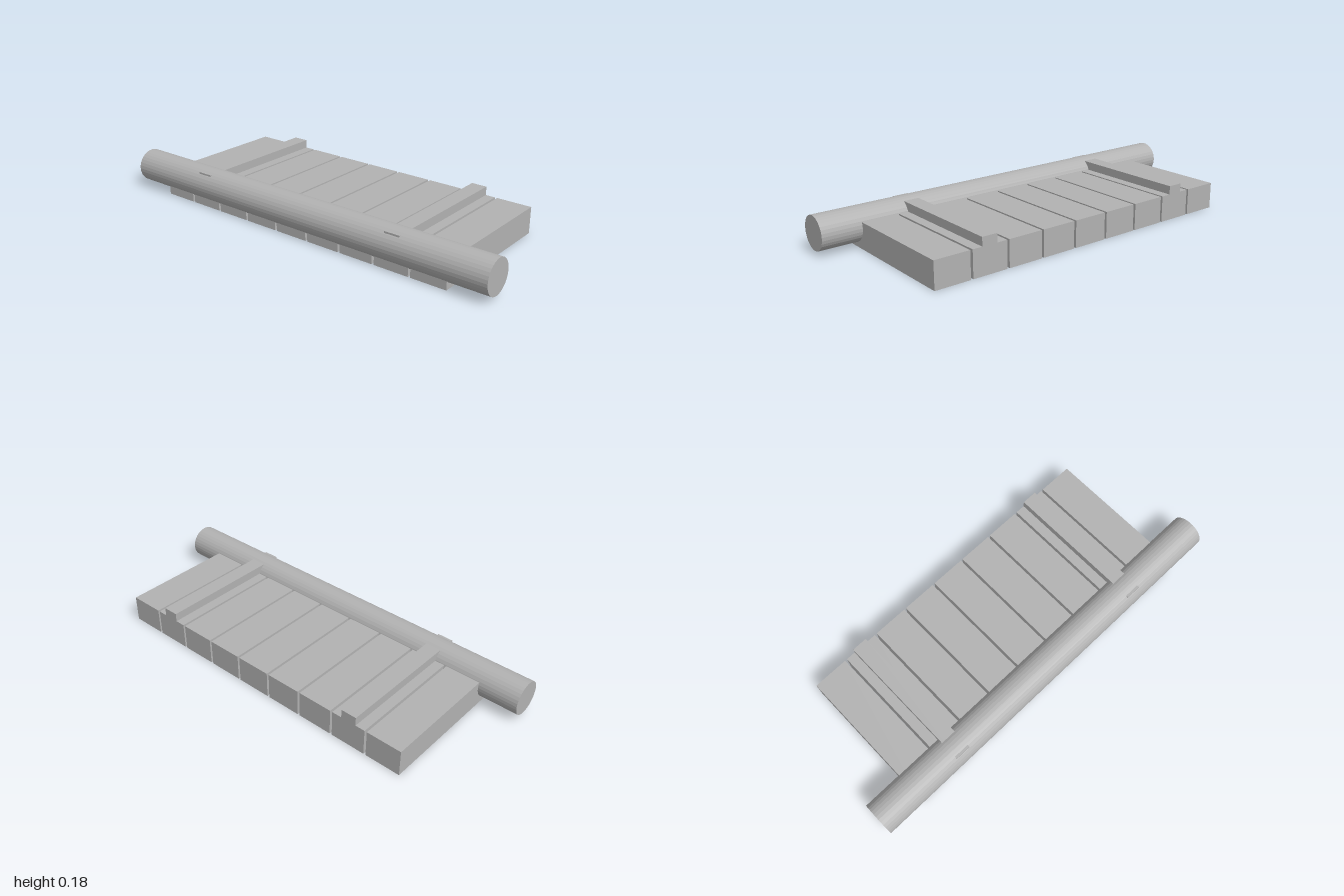
import * as THREE from 'three';

export function createModel() {
  const model = new THREE.Group();
  model.name = 'slattedPlatform';
  const grey = new THREE.MeshStandardMaterial({ color: 0xb2b2b2, flatShading: true });
  grey.name = 'grey';

  const backZ = -0.36, frontZ = 0.333;
  const depth = frontZ - backZ, midZ = (frontZ + backZ) / 2;
  const slatTop = 0.127, railTop = 0.168;

  const add = (name, geometry, x, y, z) => {
    const mesh = new THREE.Mesh(geometry, grey);
    mesh.name = name;
    mesh.position.set(x, y, z);
    model.add(mesh);
    return mesh;
  };

  // Nine slats with narrow gaps
  const slatGeometry = new THREE.BoxGeometry(0.17, slatTop, depth);
  for (let i = -4; i <= 4; i++) {
    add('slat', slatGeometry, i * 0.1814, slatTop / 2, midZ);
  }

  // Two rails lying on the slats, just breaking through the front of the log
  const railGeometry = new THREE.BoxGeometry(0.075, railTop - slatTop, depth);
  for (const side of [-1, 1]) {
    add(side > 0 ? 'leftRail' : 'rightRail', railGeometry,
      side * 0.545, (slatTop + railTop) / 2, midZ);
  }

  // Round log across the front
  const logGeometry = new THREE.CylinderGeometry(0.08, 0.08, 2, 32).rotateZ(Math.PI / 2);
  add('frontLog', logGeometry, 0, 0.1, 0.28);

  return model;
}
